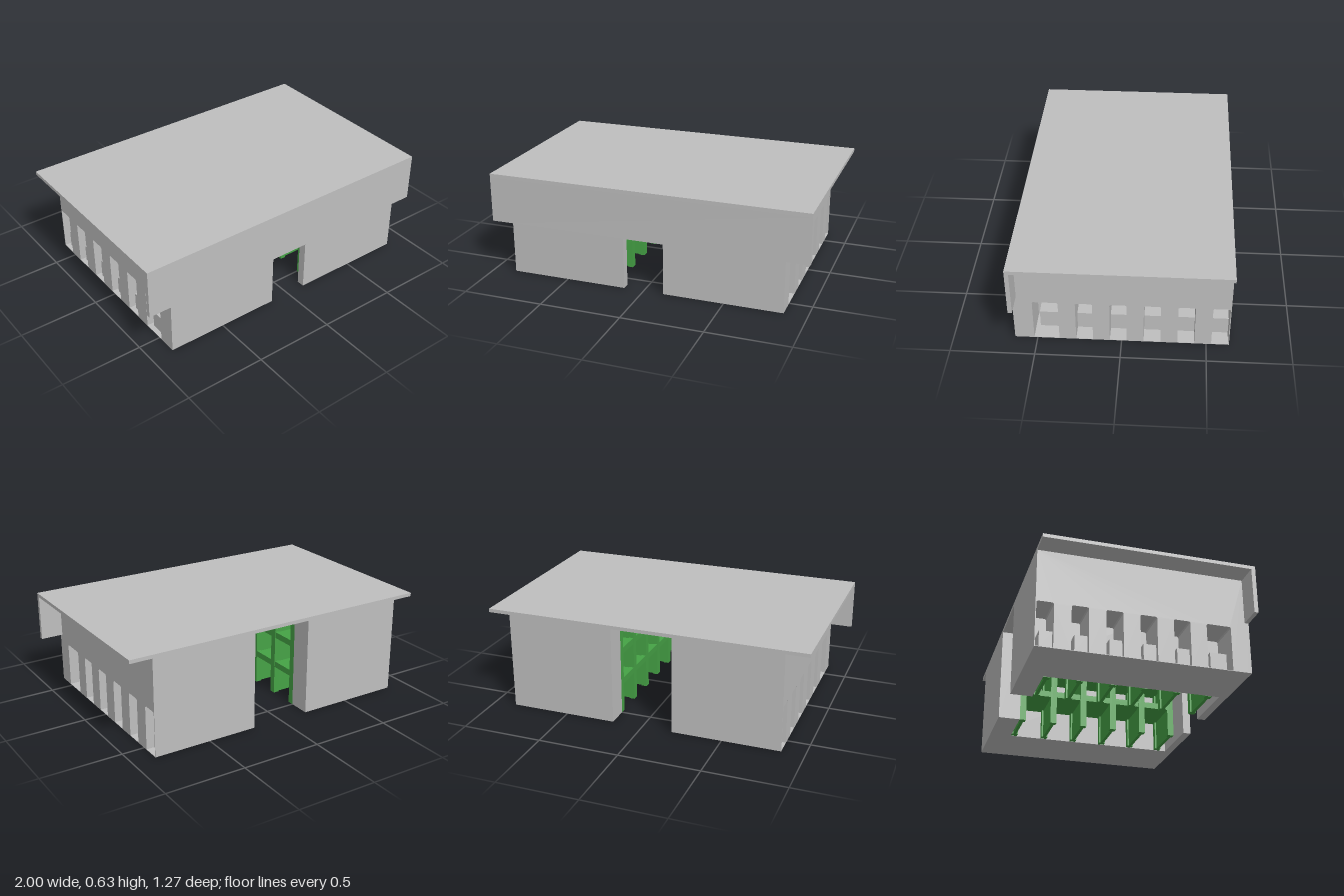
import * as THREE from 'three';

const H = 0.605; // underside of the roof

export function createModel() {
  const model = new THREE.Group();
  model.name = 'building';
  const grey = new THREE.MeshStandardMaterial({ color: 0xbfbfbf });
  grey.name = 'wall grey';
  const green = new THREE.MeshStandardMaterial({ color: 0x46a346 });
  green.name = 'shelf green';

  const add = (name, geometry, material, parent = model) => {
    const mesh = new THREE.Mesh(geometry, material);
    mesh.name = name;
    parent.add(mesh);
    return mesh;
  };
  // Box given by its limits on each axis
  const box = (name, [x0, x1], [y0, y1], [z0, z1], material = grey, parent = model) =>
    add(name, new THREE.BoxGeometry(Math.abs(x1 - x0), y1 - y0, z1 - z0), material, parent)
      .position.set((x0 + x1) / 2, (y0 + y1) / 2, (z0 + z1) / 2);

  // Roof
  box('roof', [-1, 1], [H, 0.627], [-0.635, 0.635]);

  // Front wall with doorway; the upper part reaches out to the roof edge
  const frontWall = (name, upper, lower, z, depth) => {
    const half = [[0.125, 0], [0.125, 0.32]];
    const right = [[lower, 0], [lower, 0.32], [upper, 0.32], [upper, H]];
    const outline = upper > lower ? right : [right[0], right[3]];
    const side = [...half.reverse(), ...outline];
    const mirrored = side.map(([x, y]) => [-x, y]).reverse();
    const shape = new THREE.Shape([...side, ...mirrored].map(([x, y]) => new THREE.Vector2(x, y)));
    add(name, new THREE.ExtrudeGeometry(shape, { depth, bevelEnabled: false }), grey).position.z = z;
  };
  frontWall('frontWall', 1, 0.86, 0.61, 0.025);
  frontWall('frontWallLining', 0.49, 0.49, 0.585, 0.025);

  // Side walls with a row of deep window bays, [front z, back z]
  const bays = [[0.52, 0.37]];
  for (let i = 0; i < 5; i++) bays.push([0.27 - 0.2 * i, Math.max(0.17 - 0.2 * i, -0.63)]);
  const wall = new THREE.Shape();
  wall.moveTo(-0.61, 0).lineTo(0.635, 0).lineTo(0.635, H).lineTo(-0.61, H).closePath();
  for (const [front, back] of bays) {
    const c = 0.007;
    wall.holes.push(new THREE.Path([
      [-front, 0.003], [-front, 0.28 - c], [-front + c, 0.28],
      [-back - c, 0.28], [-back, 0.28 - c], [-back, 0.003],
    ].map(([x, y]) => new THREE.Vector2(x, y))));
  }
  const depth = 0.2;
  const wallGeometry = new THREE.ExtrudeGeometry(wall, { depth, bevelEnabled: false });
  wallGeometry.rotateY(Math.PI / 2);

  for (const s of [1, -1]) {
    const side = new THREE.Group();
    side.name = s > 0 ? 'leftWing' : 'rightWing';
    model.add(side);
    add('windowWall', wallGeometry, grey, side).position.x = s > 0 ? 0.86 - depth : -0.86;
    box('wingCore', [s * 0.49, s * 0.66], [0, H], [-0.635, 0.61], grey, side);
    box('backWall', [s * 0.19, s * 0.49], [0, H], [-0.635, -0.5], grey, side);

    // Low blocks standing in the window bays
    const face = s > 0 ? 0.76 : 0.83;
    bays.forEach(([front, back], i) => {
      const z0 = s > 0 ? back : back + 0.025;
      box('bayBlock', [s * 0.66, s * face], [0.003, 0.115], [z0, i ? front : 0.495], grey, side);
    });

    // Shelving along the central aisle
    const rack = new THREE.Group();
    rack.name = 'shelving';
    side.add(rack);
    for (let i = 0; i < 6; i++) {
      const z = 0.52 - 0.2 * i;
      box('post', [s * 0.19, s * 0.225], [0, H], [z - 0.02, z + 0.02], green, rack);
      box('divider', [s * 0.225, s * 0.45], [0, H], [z - 0.01, z + 0.01], green, rack);
      box('rearPost', [s * 0.45, s * 0.485], [0, H], [z - 0.02, z + 0.02], green, rack);
    }
    for (const y of [0.2, 0.4, 0.585]) {
      box('shelf', [s * 0.22, s * 0.485], [y - 0.01, y + 0.01], [-0.49, 0.53], green, rack);
      box('shelfEdge', [s * 0.192, s * 0.22], [y - 0.02, y + 0.019], [-0.499, 0.539], green, rack);
    }
  }
  return model;
}
